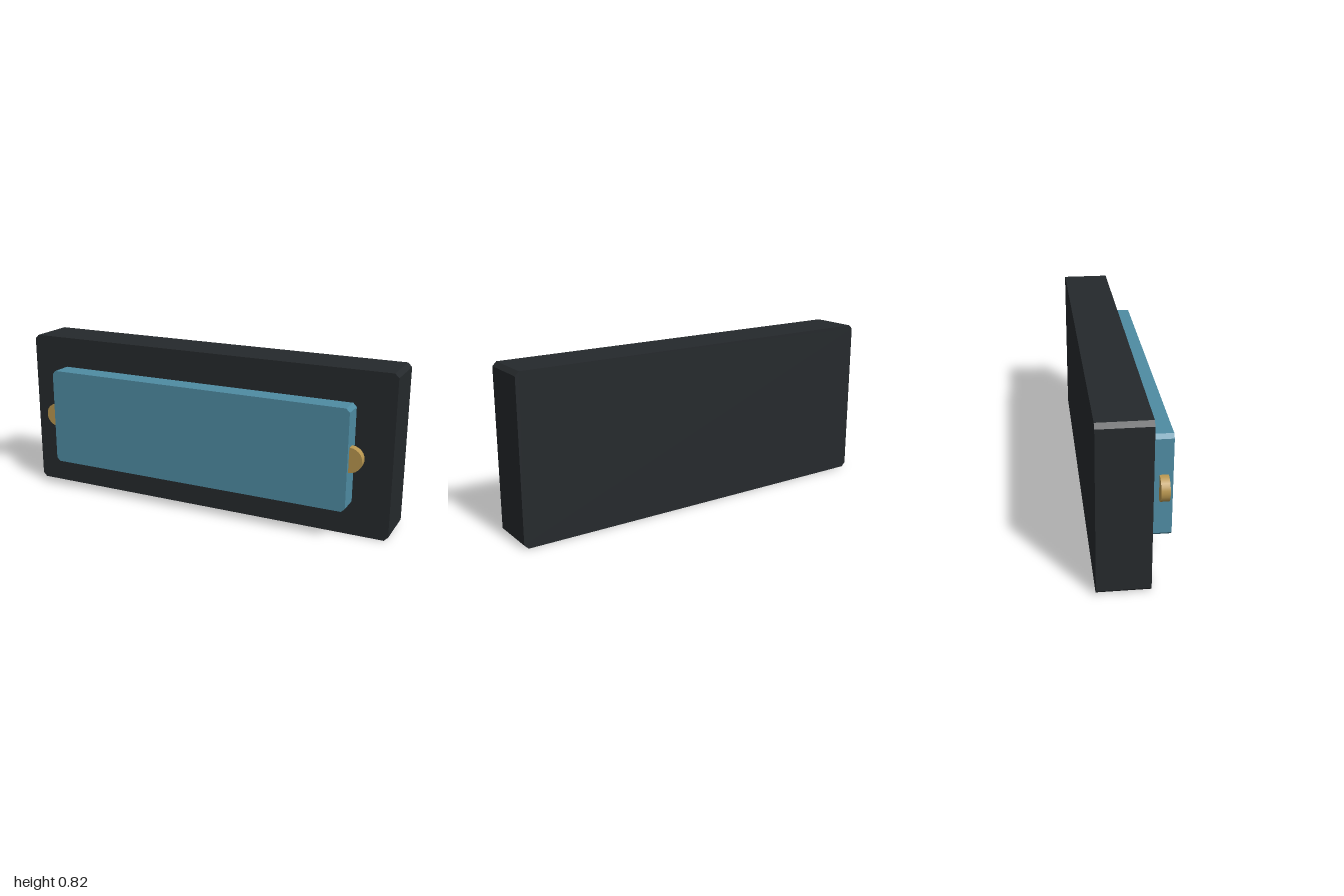
import * as THREE from 'three';

// Flat slab with chamfered corners, facing +z, centred on x = 0
function slab(name, width, y0, y1, z0, z1, cut, color) {
  const w = width / 2;
  const outline = new THREE.Shape([
    [-w + cut, y0], [w - cut, y0], [w, y0 + cut], [w, y1 - cut],
    [w - cut, y1], [-w + cut, y1], [-w, y1 - cut], [-w, y0 + cut],
  ].map(([x, y]) => new THREE.Vector2(x, y)));
  const geometry = new THREE.ExtrudeGeometry(outline, { depth: z1 - z0, bevelEnabled: false });
  geometry.translate(0, 0, z0);
  const mesh = new THREE.Mesh(geometry, new THREE.MeshStandardMaterial({ color, flatShading: true }));
  mesh.name = name;
  return mesh;
}

export function createModel() {
  const model = new THREE.Group();
  model.name = 'panelUnit';

  // Dark housing and the raised panel just in front of it
  model.add(slab('housing', 2, 0, 0.82, -0.178, 0.064, 0.02, 0x25292c));
  model.add(slab('frontPanel', 1.63, 0.158, 0.663, 0.071, 0.178, 0.018, 0x4f8ca3));

  // Brass discs half sunk into the panel's ends
  const discGeometry = new THREE.CylinderGeometry(0.062, 0.062, 0.04, 24);
  discGeometry.rotateX(Math.PI / 2);
  const brass = new THREE.MeshStandardMaterial({ color: 0xb8964f });
  for (const side of [1, -1]) {
    const disc = new THREE.Mesh(discGeometry, brass);
    disc.name = side > 0 ? 'leftDisc' : 'rightDisc';
    disc.position.set(side * 0.817, 0.411, 0.137);
    model.add(disc);
  }
  return model;
}
